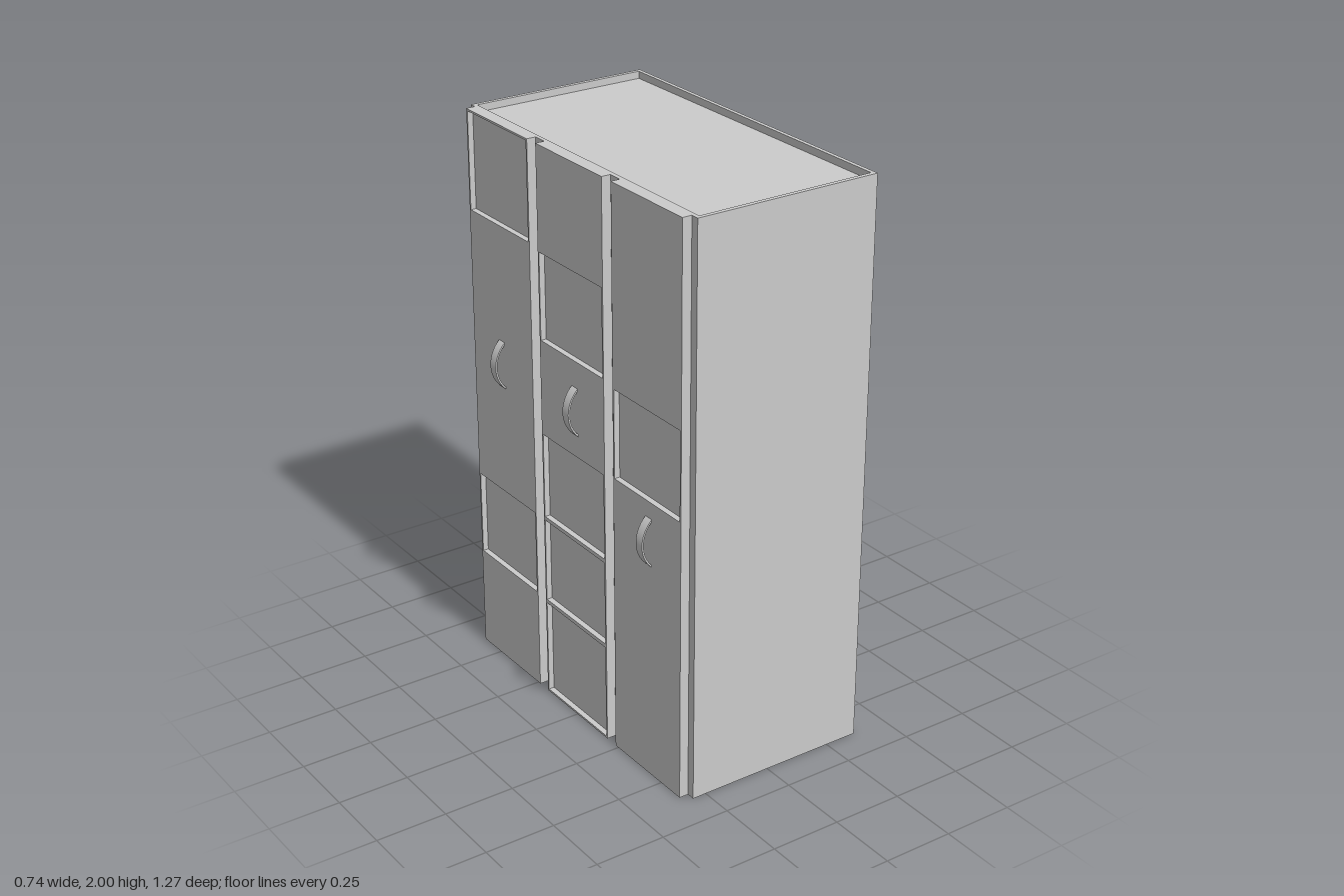
import * as THREE from 'three';

const material = new THREE.MeshStandardMaterial({ color: 0xcccccc });

function add(parent, name, geometry, x = 0, y = 0, z = 0) {
  const mesh = new THREE.Mesh(geometry, material);
  mesh.name = name;
  mesh.position.set(x, y, z);
  parent.add(mesh);
  return mesh;
}

function rectangle(PathType, x0, y0, x1, y1) {
  const path = new PathType();
  path.moveTo(x0, y0);
  path.lineTo(x1, y0);
  path.lineTo(x1, y1);
  path.lineTo(x0, y1);
  path.closePath();
  return path;
}

// Heights that divide the doors into six rows
const rows = [0, 0.36, 0.68, 1.0, 1.325, 1.645, 2];
const bodyFace = -0.3, doorFace = -0.333;
const inset = 0.02, rim = 0.007;

// Door slab with rectangular insets; local x runs along the width
function createDoor({ z0, z1, insets, handleY, handleZ }) {
  const door = new THREE.Group();
  door.name = 'door';
  const width = z1 - z0;
  const backing = bodyFace - doorFace - inset;

  const face = rectangle(THREE.Shape, 0, 0, width, 2);
  for (const row of insets) {
    face.holes.push(rectangle(THREE.Path, rim, rows[row] + rim, width - rim, rows[row + 1] - rim));
  }
  const frame = new THREE.ExtrudeGeometry(face, { depth: inset, bevelEnabled: false });
  frame.rotateY(-Math.PI / 2);
  add(door, 'doorFrame', frame, doorFace + inset, 0, z0);
  add(door, 'doorBacking', new THREE.BoxGeometry(backing, 2, width),
    bodyFace - backing / 2, 1, (z0 + z1) / 2);

  // Bowed strap handle
  const radius = 0.116, thickness = 0.006, angle = 0.85;
  const arc = new THREE.Shape();
  arc.absarc(0, 0, radius, Math.PI - angle, Math.PI + angle, false);
  arc.absarc(0, 0, radius - thickness, Math.PI + angle, Math.PI - angle, true);
  arc.closePath();
  const strap = new THREE.ExtrudeGeometry(arc, { depth: 0.034, bevelEnabled: false, curveSegments: 20 });
  add(door, 'handle', strap, -0.37 + radius, handleY, handleZ - 0.017);
  return door;
}

export function createModel() {
  const model = new THREE.Group();
  model.name = 'wardrobe';

  // Cabinet body with a sunken top
  const sink = 0.025;
  add(model, 'body', new THREE.BoxGeometry(0.667, 2 - sink, 1.266), 0.0335, 1 - sink / 2, 0);
  const edge = rectangle(THREE.Shape, bodyFace, -0.633, 0.367, 0.633);
  edge.holes.push(rectangle(THREE.Path, -0.285, -0.618, 0.353, 0.618));
  const topRim = new THREE.ExtrudeGeometry(edge, { depth: sink, bevelEnabled: false });
  topRim.rotateX(-Math.PI / 2);
  add(model, 'topRim', topRim, 0, 2 - sink, 0);

  // Three tall doors side by side
  const doors = [
    { z0: -0.608, z1: -0.238, insets: [1, 5], handleY: 1.155, handleZ: -0.428 },
    { z0: -0.188, z1: 0.184, insets: [0, 1, 2, 4], handleY: 1.155, handleZ: 0.016 },
    { z0: 0.234, z1: 0.604, insets: [3], handleY: 0.865, handleZ: 0.43 },
  ];
  for (const spec of doors) model.add(createDoor(spec));
  return model;
}
